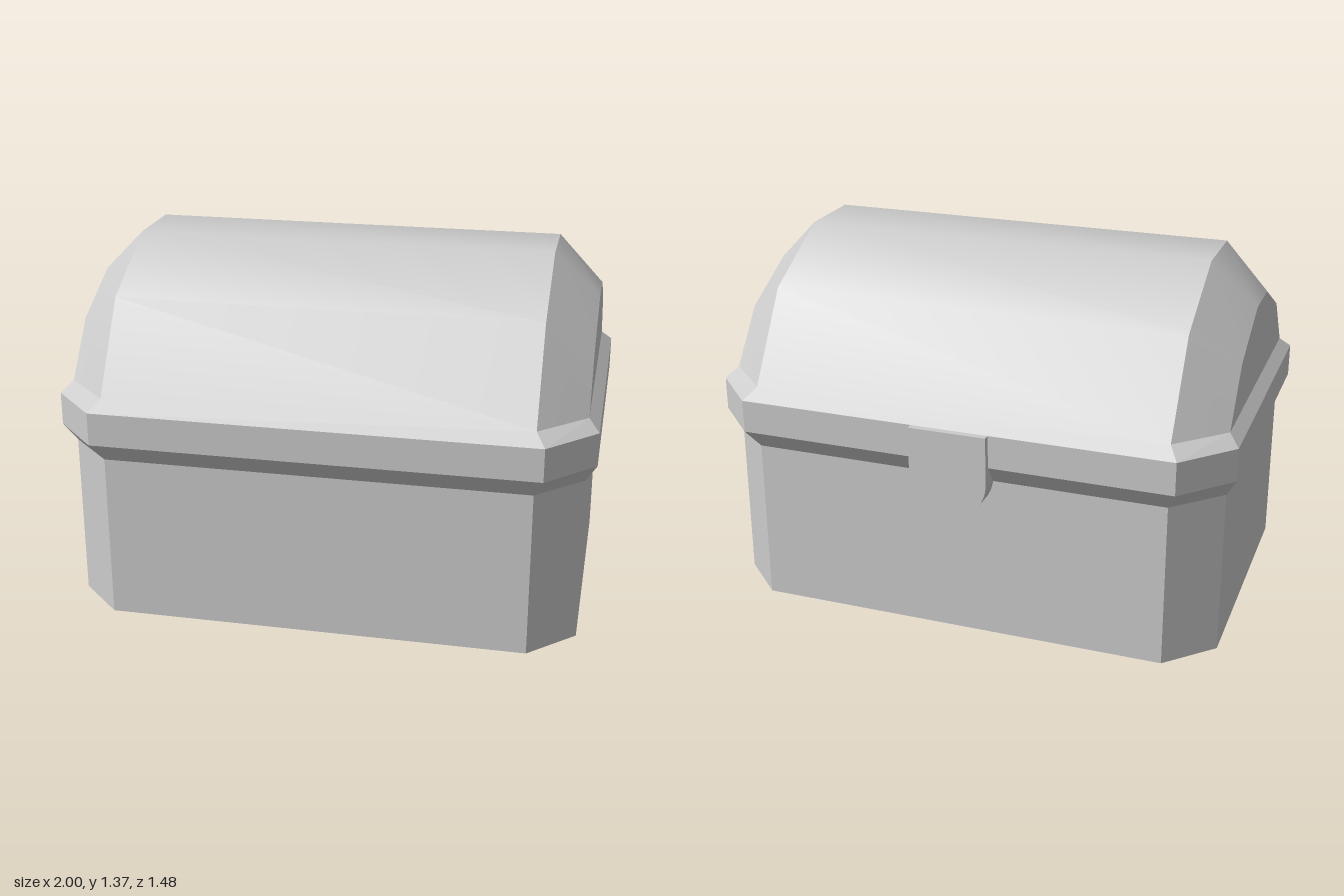
import * as THREE from 'three';
import { toCreasedNormals } from 'three/addons/utils/BufferGeometryUtils.js';

const material = new THREE.MeshStandardMaterial({ color: 0xcccccc });

function makeMesh(name, geometry) {
  const mesh = new THREE.Mesh(geometry, material);
  mesh.name = name;
  return mesh;
}

// Joins consecutive rings of points with quads; smooth along the strip or faceted
function loft(rings, { closed = false, smooth = false } = {}) {
  const n = rings[0].length;
  const index = [];
  for (let r = 0; r < rings.length - 1; r++) {
    for (let i = 0; i < (closed ? n : n - 1); i++) {
      const j = (i + 1) % n;
      const a = r * n + i, b = r * n + j;
      index.push(a, b, b + n, a, b + n, a + n);
    }
  }
  return finish(rings.flat(), index, smooth);
}

// Flat fan closing a convex ring
function cap(ring) {
  const index = [];
  for (let i = 1; i < ring.length - 1; i++) index.push(0, i, i + 1);
  return finish(ring, index, false);
}

function finish(points, index, smooth) {
  let geometry = new THREE.BufferGeometry();
  geometry.setAttribute('position', new THREE.Float32BufferAttribute(points.flat(), 3));
  geometry.setIndex(index);
  if (!smooth) geometry = geometry.toNonIndexed();
  geometry.computeVertexNormals();
  return geometry;
}

// Rectangle with cut corners at height y
function octagon(y, X, Z, cx, cz) {
  return [[-cx, Z], [cx, Z], [X, cz], [X, -cz], [cx, -Z], [-cx, -Z], [-X, -cz], [-X, cz]]
    .map(([x, z]) => [x, y, z]);
}

// Symmetric arch at x, from half of its outline
function arch(x, half) {
  const front = half.map(([z, y]) => [x, y, z]);
  return [...front, ...front.map(([, y, z]) => [x, y, -z]).reverse()];
}

export function createModel() {
  const model = new THREE.Group();
  model.name = 'chest';

  const wall = (y) => octagon(y, 0.96, 0.67, 0.79, 0.503);
  const band = (y) => octagon(y, 1.0, 0.725, 0.825, 0.541);

  // Box with its floor
  const body = new THREE.Group();
  body.name = 'body';
  body.add(
    makeMesh('walls', loft([wall(0), wall(0.63)], { closed: true })),
    makeMesh('floor', cap(wall(0).reverse())),
  );

  // Flared rim between box and lid
  const rim = makeMesh('rim', loft([wall(0.63), band(0.705), band(0.83), wall(0.87)], { closed: true }));

  // Barrel lid with bevelled ends
  const big = [[0.67, 0.87], [0.463, 1.195], [0.138, 1.365]];
  const small = [[0.503, 0.87], [0.35, 1.068], [0.095, 1.197]];
  const lid = new THREE.Group();
  lid.name = 'lid';
  lid.add(
    makeMesh('lidBarrel', loft([arch(0.79, big), arch(-0.79, big)], { smooth: true })),
    makeMesh('lidBevelLeft', loft([arch(0.96, small), arch(0.79, big)], { smooth: true })),
    makeMesh('lidBevelRight', loft([arch(-0.79, big), arch(-0.96, small)], { smooth: true })),
    makeMesh('lidEndLeft', cap(arch(0.96, small).reverse())),
    makeMesh('lidEndRight', cap(arch(-0.96, small))),
  );

  // Round-bottomed latch
  const r = 0.147;
  const outline = new THREE.Shape();
  outline.moveTo(r, 0.83);
  outline.lineTo(-r, 0.83);
  outline.lineTo(-r, 0.647);
  outline.absarc(0, 0.647, r, Math.PI, 2 * Math.PI, false);
  outline.closePath();
  const latchGeometry = new THREE.ExtrudeGeometry(outline, {
    depth: 0.1, bevelEnabled: false, curveSegments: 16,
  });
  const latch = makeMesh('latch', toCreasedNormals(latchGeometry, 0.6));
  latch.position.z = -0.75;

  model.add(body, rim, lid, latch);
  // The latch sticks out behind, so the chest sits slightly forward
  model.children.forEach((part) => { part.position.z += 0.015; });
  return model;
}
